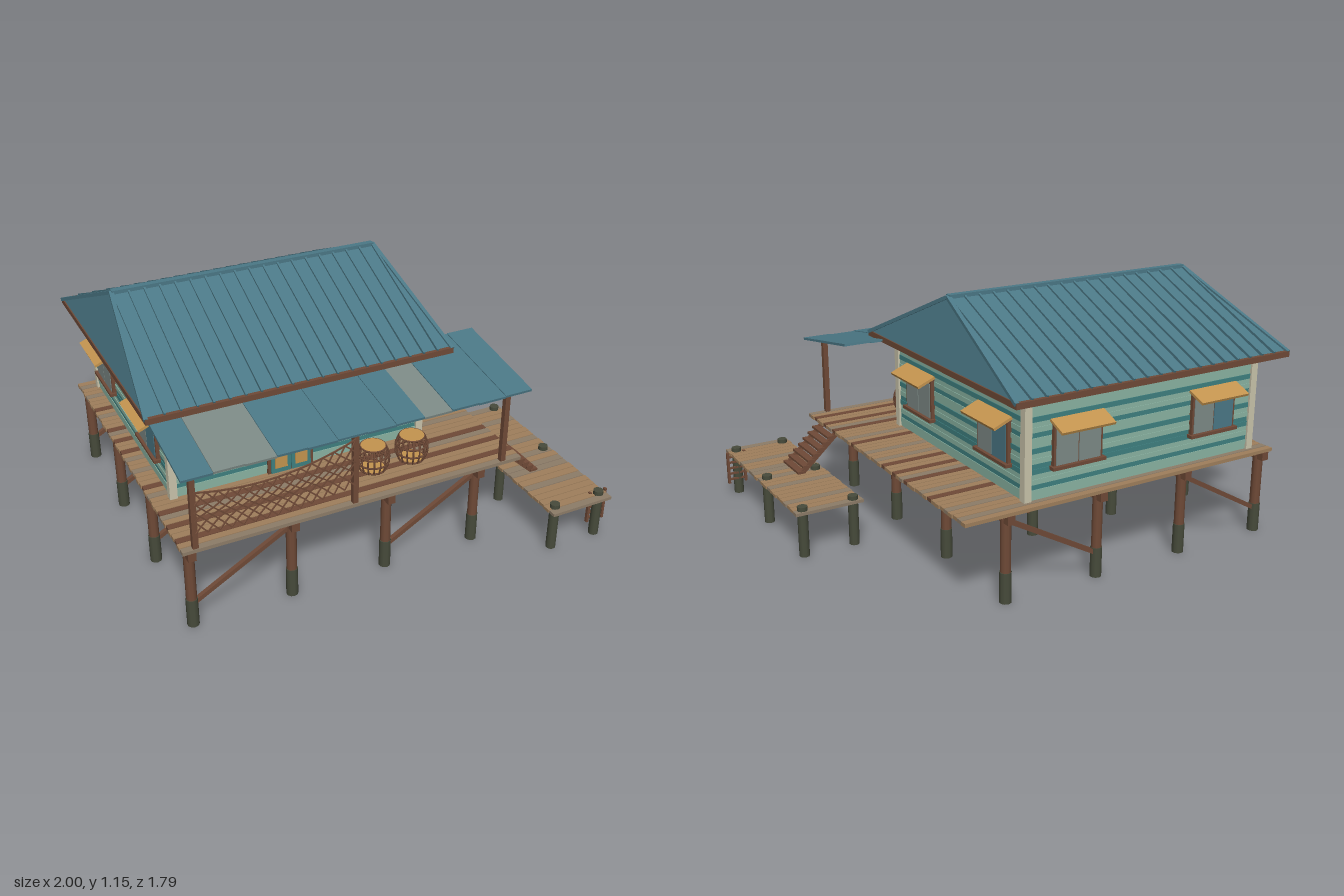
import * as THREE from 'three';
import { mergeGeometries } from 'three/addons/utils/BufferGeometryUtils.js';

const mat = (name, color, side = THREE.FrontSide) => {
  const m = new THREE.MeshStandardMaterial({ color, side });
  m.name = name;
  return m;
};

export function createModel() {
  const M = {
    roof: mat('roofBlue', 0x4b7886),
    grey: mat('weatheredGrey', 0x7d8a86),
    sage: mat('sagePaint', 0x8ab3a2),
    teal: mat('tealPaint', 0x3f8080),
    brown: mat('brownTimber', 0x6f4a37),
    tan: mat('tanPlank', 0x9f7f5c),
    plank: mat('greyPlank', 0x8d7c68),
    algae: mat('wetTimber', 0x474b3b),
    ochre: mat('ochreWood', 0xc4944f),
    trim: mat('creamTrim', 0xc9c4ab),
  };
  const root = new THREE.Group();
  const group = (name, parent = root) => {
    const g = new THREE.Group();
    g.name = name;
    parent.add(g);
    return g;
  };
  const put = (parent, name, geo, m, x = 0, y = 0, z = 0) => {
    const mesh = new THREE.Mesh(geo, m);
    mesh.name = name;
    mesh.position.set(x, y, z);
    parent.add(mesh);
    return mesh;
  };
  const box = (parent, name, m, w, h, d, x, y, z) =>
    put(parent, name, new THREE.BoxGeometry(w, h, d), m, x, y, z);
  const post = (parent, name, m, r, y0, y1, x, z) =>
    put(parent, name, new THREE.CylinderGeometry(r, r, y1 - y0, 10), m, x, (y0 + y1) / 2, z);
  // Square bar between two points
  const barGeo = (a, b, w, h) => {
    const A = new THREE.Vector3(...a), B = new THREE.Vector3(...b);
    const o = new THREE.Object3D();
    o.position.copy(A).add(B).multiplyScalar(0.5);
    o.lookAt(B);
    o.updateMatrix();
    return new THREE.BoxGeometry(w, h, A.distanceTo(B)).applyMatrix4(o.matrix);
  };
  const bar = (parent, name, m, a, b, w, h = w) => put(parent, name, barGeo(a, b, w, h), m);

  // Stilts, beams and braces
  const stilts = group('stilts');
  const px = [-0.94, -0.49, -0.04, 0.41], pz = [0.63, 0.15, -0.33, -0.815];
  for (const x of px) {
    box(stilts, 'beam', M.brown, 0.035, 0.038, 1.54, x, 0.373, -0.09);
    for (const z of pz) {
      post(stilts, 'stiltFoot', M.algae, 0.026, 0, 0.135, x, z);
      post(stilts, 'stilt', M.brown, 0.023, 0.135, 0.37, x, z);
    }
  }
  for (const z of pz) for (const x of [px[0], px[2]])
    bar(stilts, 'brace', M.brown, [x + 0.015, 0.115, z], [x + 0.44, 0.355, z], 0.02);

  // Planked platforms: t tan, g grey, b brown
  const planks = (name, x0, x1, z0, z1, n, y, h, pattern) => {
    const g = group(name), step = (z1 - z0) / n;
    const key = { t: M.tan, g: M.plank, b: M.brown };
    for (let i = 0; i < n; i++)
      box(g, 'plank', key[pattern[i % pattern.length]], x1 - x0 - (i % 3) * 0.004, h, step - 0.004,
        (x0 + x1) / 2, y - h / 2, z0 + (i + 0.5) * step);
    return g;
  };
  planks('deck', -0.98, 0.62, -0.86, 0.68, 44, 0.407, 0.016, 'tgttgtttbtgtttbgtbttb');
  const dock = planks('dock', 0.66, 0.98, -0.03, 0.9, 23, 0.216, 0.014, 'gttgttttgttgtg');
  for (const x of [0.7, 0.94]) {
    for (const z of [0, 0.425, 0.85]) post(dock, 'dockPile', M.algae, 0.023, 0, 0.235, x, z);
    box(dock, 'dockBearer', M.plank, 0.02, 0.01, 0.9, x, 0.198, 0.435);
  }
  for (const x of [0.908, 0.992]) box(dock, 'ladderRail', M.brown, 0.012, 0.16, 0.014, x, 0.14, 0.833);
  for (let i = 0; i < 5; i++)
    box(dock, 'ladderRung', M.brown, 0.08, 0.009, 0.01, 0.95, 0.08 + i * 0.029, 0.833);

  // Stairs down to the dock
  const stairs = group('stairs');
  for (const z of [0.4, 0.56])
    bar(stairs, 'stringer', M.brown, [0.595, 0.385, z], [0.8, 0.2, z], 0.014, 0.024);
  for (let i = 0; i < 7; i++)
    box(stairs, 'tread', M.brown, 0.036, 0.011, 0.185, 0.628 + i * 0.026, 0.372 - i * 0.0245, 0.48);

  // House walls: stacked boards with slightly proud alternate courses
  const house = group('house');
  const hx = -0.29, hz = -0.25, W = 1.2, D = 1.1;
  const courses = 'sstssttsstsstsstssts';
  [...courses].forEach((c, i) => {
    const o = (i % 2) * 0.006;
    box(house, 'sidingBoard', c === 's' ? M.sage : M.teal, W + o, 0.022, D + o, hx, 0.418 + i * 0.022, hz);
  });
  for (const sx of [-1, 1]) for (const sz of [-1, 1])
    box(house, 'cornerBoard', M.trim, 0.034, 0.435, 0.034,
      hx + sx * (W / 2 - 0.006), 0.624, hz + sz * (D / 2 - 0.006));

  // Windows with sloping awnings
  const addWindow = (x, z, turn, bluePane) => {
    const g = group('window', house);
    g.position.set(x, 0, z);
    g.rotation.y = turn;
    box(g, 'windowFrame', M.brown, 0.24, 0.19, 0.024, 0, 0.63, 0.006);
    for (const s of [-1, 1])
      box(g, 'pane', s > 0 && bluePane ? M.roof : M.grey, 0.107, 0.16, 0.006, s * 0.056, 0.622, 0.018);
    box(g, 'sill', M.brown, 0.262, 0.014, 0.035, 0, 0.533, 0.016);
    box(g, 'awning', M.ochre, 0.262, 0.012, 0.092, 0, 0.718, 0.046).rotation.x = 0.39;
  };
  const fz = hz + D / 2, bz = hz - D / 2, rx = hx + W / 2, lx = hx - W / 2, q = Math.PI / 2;
  addWindow(-0.65, fz, 0, false);
  addWindow(0.067, fz, 0, true);
  addWindow(-0.65, bz, 2 * q, true);
  addWindow(0.067, bz, 2 * q, false);
  addWindow(rx, 0.063, q, false);
  addWindow(rx, -0.575, q, true);
  addWindow(lx, 0.063, -q, true);
  addWindow(lx, -0.575, -q, false);

  // Double door
  const door = group('door', house);
  box(door, 'doorFrame', M.brown, 0.215, 0.35, 0.02, -0.345, 0.582, fz + 0.003);
  for (const s of [-1, 1]) {
    const x = -0.345 + s * 0.048;
    box(door, 'doorLeaf', M.teal, 0.092, 0.335, 0.02, x, 0.576, fz + 0.009);
    box(door, 'upperPanel', M.ochre, 0.058, 0.14, 0.006, x, 0.655, fz + 0.02);
    box(door, 'lowerPanel', M.ochre, 0.058, 0.125, 0.006, x, 0.495, fz + 0.02);
  }

  // Main hip roof
  const roof = group('roof');
  const A = [-0.995, 0.86, 0.385], B = [0.412, 0.86, 0.385], C = [0.412, 0.86, -0.892], Dd = [-0.995, 0.86, -0.892];
  const E = [-0.92, 1.14, -0.25], F = [0.345, 1.14, -0.25];
  const hip = new THREE.BufferGeometry();
  hip.setAttribute('position', new THREE.Float32BufferAttribute(
    [A, B, F, A, F, E, B, C, F, C, Dd, E, C, E, F, Dd, A, E].flat(), 3));
  hip.computeVertexNormals();
  put(roof, 'roofSheets', hip, M.roof);
  box(roof, 'soffitAndFascia', M.brown, 1.415, 0.026, 1.285, -0.2915, 0.853, -0.2535);
  for (let i = 0; i < 19; i++) {
    const x = -0.915 + i * 0.0697;
    for (const z of [0.383, -0.889])
      bar(roof, 'seam', M.roof, [x, 0.866, z], [x, 1.14, -0.25], 0.009, 0.016);
  }
  bar(roof, 'ridgeCap', M.roof, E, F, 0.03, 0.02);
  for (const [a, b] of [[A, E], [Dd, E], [B, F], [C, F]]) bar(roof, 'hipCap', M.roof, a, b, 0.018, 0.016);

  // Porch: patched sheet roof on three posts
  const porch = group('porch');
  for (let i = 0; i < 12; i++) {
    const x = -0.98 + (i + 0.5) * 0.1321, y = (i % 2) * 0.003;
    bar(porch, 'porchSheet', [1, 2, 8].includes(i) ? M.grey : M.roof,
      [x, 0.85 + y, 0.24], [x, 0.77 + y, 0.725], 0.1315, 0.011);
  }
  for (const x of [-0.92, -0.21, 0.525]) box(porch, 'porchPost', M.brown, 0.024, 0.36, 0.024, x, 0.585, 0.662);
  box(porch, 'porchBeam', M.brown, 1.47, 0.018, 0.02, -0.1975, 0.762, 0.662);

  // Draped fishing net between the first two posts
  const cols = 28, rows = 8, strands = [];
  const knot = (i, j) => {
    const t = i / cols, sag = 0.055 * 4 * t * (1 - t);
    return [-0.92 + 0.7 * t, 0.68 + 0.05 * t - sag - j * (0.024 + 0.004 * t) + sag * 0.5 * j / rows,
      0.685 + 0.012 * Math.sin(j * 0.8)];
  };
  for (let j = 0; j < rows; j++) for (let i = 0; i <= cols; i++) {
    if ((i + j) % 2) continue;
    for (const k of [i - 1, i + 1])
      if (k >= 0 && k <= cols) strands.push(barGeo(knot(i, j), knot(k, j + 1), 0.005, 0.005));
  }
  for (let i = 0; i < cols; i++) strands.push(barGeo(knot(i, 0), knot(i + 1, 0), 0.006, 0.006));
  put(porch, 'net', mergeGeometries(strands), M.brown);

  // Open basket traps
  for (const x of [-0.022, 0.172]) {
    const trap = group('trap');
    trap.position.set(x, 0.407, 0.47);
    const rad = (y) => 0.055 + 0.018 * Math.sin(Math.PI * y / 0.12);
    for (let k = 0; k < 16; k++) {
      const a = k * Math.PI / 8;
      const pts = [0, 0.03, 0.06, 0.09, 0.12].map((y) =>
        new THREE.Vector3(Math.cos(a) * rad(y), y, Math.sin(a) * rad(y)));
      put(trap, 'trapStave', new THREE.TubeGeometry(new THREE.CatmullRomCurve3(pts), 8, 0.004, 5), M.brown);
    }
    for (const y of [0.006, 0.042, 0.08, 0.118])
      put(trap, 'trapHoop', new THREE.TorusGeometry(rad(y), 0.0045, 5, 24), M.brown, 0, y).rotation.x = q;
    put(trap, 'trapLid', new THREE.CylinderGeometry(0.055, 0.055, 0.007, 20), M.ochre, 0, 0.118);
    put(trap, 'trapBase', new THREE.CylinderGeometry(0.055, 0.055, 0.007, 20), M.ochre, 0, 0.005);
  }
  return root;
}
